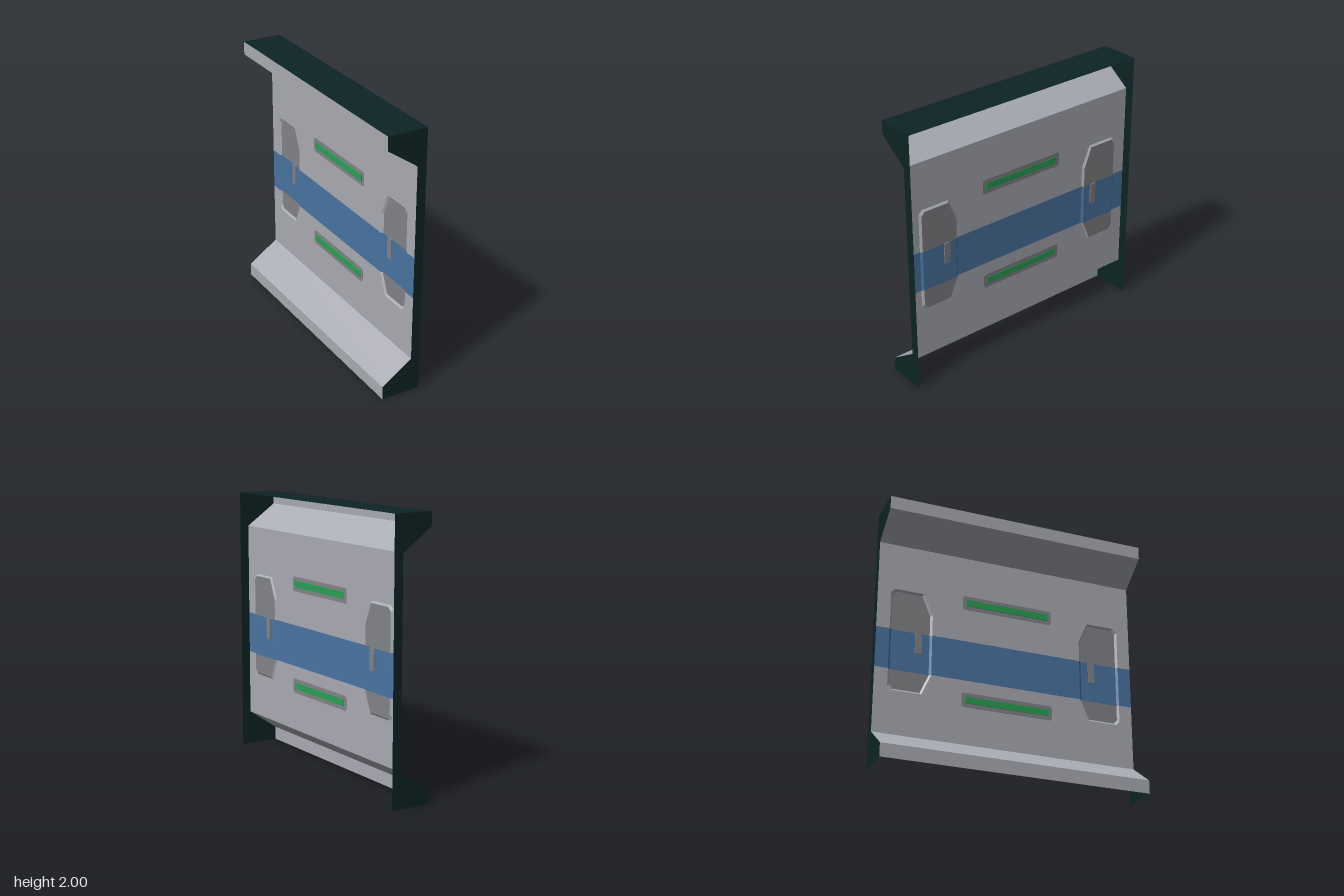
import * as THREE from 'three';

const WALL = 0.08, FLOOR = 0.092, BACK = 0.15, LIP = -0.15;
const Y0 = 0.75, Y1 = 1.06; // stripe band

const mat = (name, color) => {
  const m = new THREE.MeshStandardMaterial({ color, side: THREE.DoubleSide, flatShading: true });
  m.name = name;
  return m;
};

// flat polygon from [z, y] points, facing -x at the given x
function plate(pts, x) {
  const g = new THREE.ShapeGeometry(new THREE.Shape(pts.map(p => new THREE.Vector2(p[0], p[1]))));
  return g.rotateY(-Math.PI / 2).translate(x, 0, 0);
}

// ribbon of quads joining two equally long rows of 3D points
function ribbon(a, b) {
  const v = [];
  for (let i = 0; i < a.length - 1; i++) v.push(...a[i], ...b[i], ...b[i + 1], ...a[i], ...b[i + 1], ...a[i + 1]);
  const g = new THREE.BufferGeometry();
  g.setAttribute('position', new THREE.Float32BufferAttribute(v, 3));
  g.computeVertexNormals();
  return g;
}

function roundedRect(w, h, r) {
  const s = new THREE.Shape();
  s.moveTo(-w + r, -h).lineTo(w - r, -h).quadraticCurveTo(w, -h, w, -h + r);
  s.lineTo(w, h - r).quadraticCurveTo(w, h, w - r, h).lineTo(-w + r, h);
  s.quadraticCurveTo(-w, h, -w, h - r).lineTo(-w, -h + r).quadraticCurveTo(-w, -h, -w + r, -h);
  return s;
}

export function createModel() {
  const group = new THREE.Group();
  const grey = mat('light grey', 0xaaacb4), dark = mat('hatch grey', 0x838488);
  const blue = mat('stripe blue', 0x4a74a3), green = mat('lamp green', 0x2aa055);
  const trim = mat('dark trim', 0x0d2424);
  const add = (name, geo, material) => {
    const m = new THREE.Mesh(geo, material);
    m.name = name;
    group.add(m);
    return m;
  };

  // hatch outline halves, from the outer edge to the inner edge
  const lower = [[0.9, Y0], [0.9, 0.62], [0.87, 0.59], [0.65, 0.59], [0.58, Y0]];
  const upper = [[0.9, Y1], [0.9, 1.35], [0.87, 1.38], [0.65, 1.38], [0.58, 1.22], [0.58, Y1]];
  const flip = pts => pts.map(([z, y]) => [-z, y]).reverse();

  // wall bands, notched around the hatches
  add('lowerWall', plate([[-1, 0.26], [1, 0.26], [1, Y0], ...lower, ...flip(lower), [-1, Y0]], WALL), grey);
  add('upperWall', plate([[-1, 1.74], [1, 1.74], [1, Y1], ...upper, ...flip(upper), [-1, Y1]], WALL), grey);
  const band = (a, b) => [[a, Y0], [b, Y0], [b, Y1], [a, Y1]];
  for (const [a, b] of [[-1, -0.9], [-0.58, 0.58], [0.9, 1]]) add('stripe', plate(band(a, b), WALL), blue);

  // sloped flanges and lips at the top and bottom
  const row = (x, y) => [[x, y, -1], [x, y, 1]];
  add('topSlope', ribbon(row(LIP, 1.9), row(WALL, 1.74)), grey);
  add('topLip', ribbon(row(LIP, 2), row(LIP, 1.9)), grey);
  add('bottomSlope', ribbon(row(WALL, 0.26), row(LIP, 0.1)), grey);
  add('bottomLip', ribbon(row(LIP, 0.1), row(LIP, 0)), grey);

  // dark top and end caps; the back and bottom stay open
  add('topCap', ribbon(row(BACK, 2), row(LIP, 2)), trim);
  const profile = new THREE.Shape([
    [LIP, 0], [BACK, 0], [BACK, 2], [LIP, 2], [LIP, 1.9], [WALL, 1.74], [WALL, 0.26], [LIP, 0.1],
  ].map(p => new THREE.Vector2(...p)));
  add('frontCap', new THREE.ShapeGeometry(profile).translate(0, 0, 1), trim);
  add('rearCap', new THREE.ShapeGeometry(profile).rotateY(Math.PI).scale(-1, 1, 1).translate(0, 0, -1), trim);

  // recessed hatches with bevelled rims and a small handle
  const inset = ([z, y]) => [
    0.74 + (z - 0.74) * 0.9,
    y === Y0 || y === Y1 ? y : 0.985 + (y - 0.985) * 0.965,
  ];
  for (const s of [1, -1]) {
    const side = pts => pts.map(([z, y]) => [s * z, y]);
    const parts = [
      ['hatchLower', lower, dark, grey],
      ['hatchUpper', upper, dark, grey],
    ];
    for (const [name, pts, floorMat, rimMat] of parts) {
      const outer = side(pts), inner = side(pts.map(inset));
      add(name, plate(inner, FLOOR), floorMat);
      add(name + 'Rim', ribbon(outer.map(([z, y]) => [WALL, y, z]), inner.map(([z, y]) => [FLOOR, y, z])), rimMat);
    }
    const a = inset([0.58, 1])[0], b = inset([0.9, 1])[0];
    add('hatchStripe', plate(side(band(a, b)), FLOOR), blue);
    for (const [o, i] of [[0.58, a], [0.9, b]]) {
      add('hatchStripeRim', ribbon([[WALL, Y0, s * o], [WALL, Y1, s * o]], [[FLOOR, Y0, s * i], [FLOOR, Y1, s * i]]), blue);
    }
    add('handle', new THREE.BoxGeometry(0.014, 0.16, 0.05).translate(FLOOR, 0.98, s * 0.68), dark);
  }

  // green lamp bars on rounded grey surrounds
  for (const y of [1.37, 0.6]) {
    const surround = new THREE.ExtrudeGeometry(roundedRect(0.35, 0.055, 0.025), { depth: 0.004, bevelEnabled: false });
    add('lampSurround', surround.rotateY(-Math.PI / 2).translate(WALL + 0.002, y, 0), dark);
    add('lamp', new THREE.BoxGeometry(0.012, 0.05, 0.645).translate(WALL - 0.001, y, 0), green);
  }
  return group;
}
